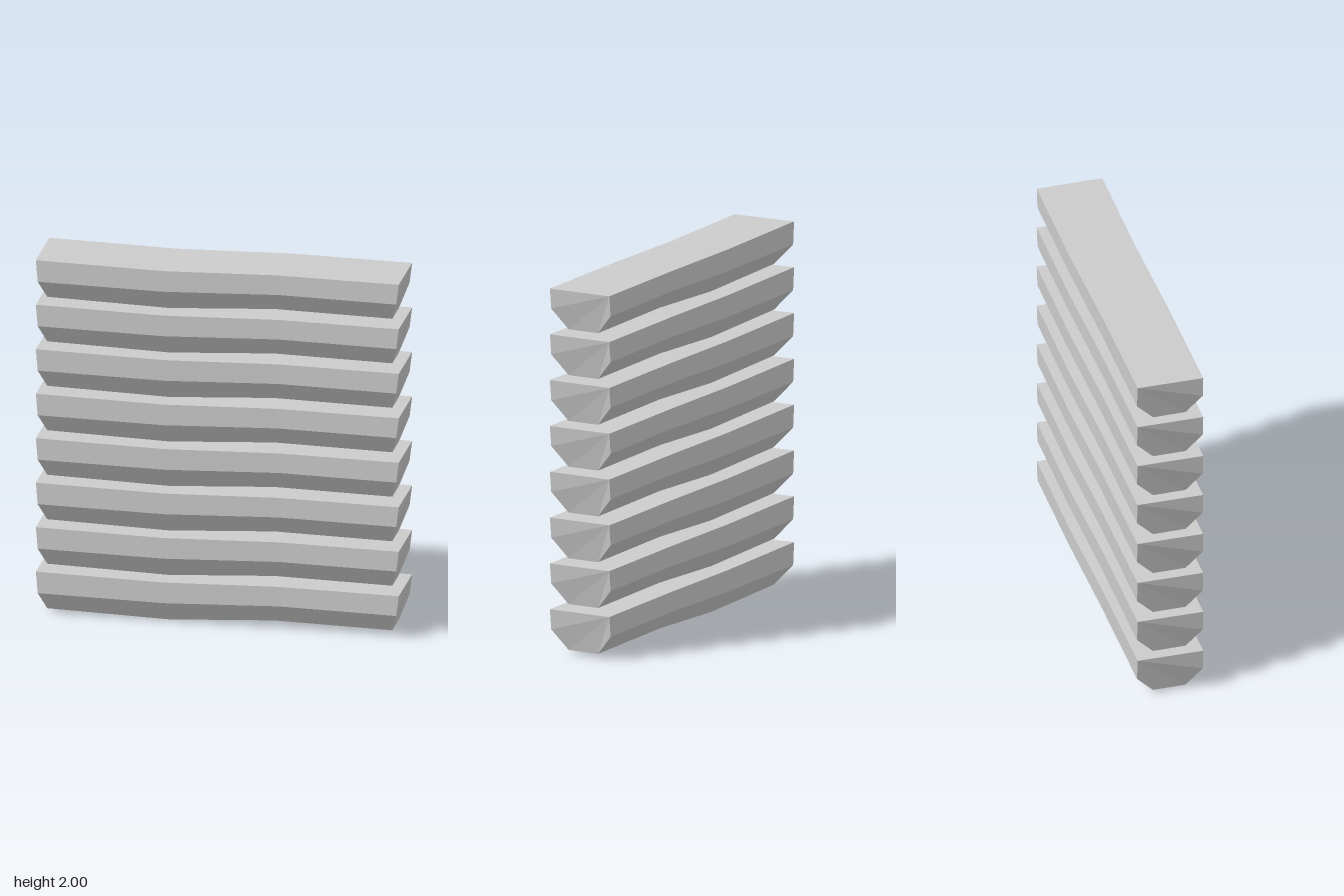
import * as THREE from 'three';

// Stations along a plank: x at top, middle, bottom; heights of the same; sideways sway
const STATIONS = [
  { x: [-0.985, -0.975, -0.94], y: [0.247, 0.127, 0.016], dz: -0.005 },
  { x: [-0.29, -0.29, -0.28], y: [0.236, 0.12, 0.001], dz: 0.004 },
  { x: [0.33, 0.33, 0.29], y: [0.25, 0.14, 0.03], dz: -0.007 },
  { x: [0.982, 0.968, 0.93], y: [0.245, 0.133, 0.022], dz: 0.004 },
];

// Six-sided section: [level, z], from top back round the front to middle back
const SECTION = [[0, -0.182], [0, 0.181], [1, 0.181], [2, 0.096], [2, -0.084], [1, -0.182]];

function plankGeometry() {
  const pos = [], index = [], n = SECTION.length, last = (STATIONS.length - 1) * n;
  for (const s of STATIONS) {
    SECTION.forEach(([level, z], j) => {
      // the top back edge lies slightly higher than the front one at the left end
      const lift = j === 0 && s.x[0] < 0 ? 0.003 : 0;
      pos.push(s.x[level], s.y[level] + lift, z + s.dz);
    });
  }
  // long faces
  for (let i = 0; i < last; i += n) {
    for (let j = 0; j < n; j++) {
      const a = i + j, b = i + (j + 1) % n;
      index.push(a, b, b + n, a, b + n, a + n);
    }
  }
  // end caps
  for (let j = 1; j < n - 1; j++) {
    index.push(0, j + 1, j);
    index.push(last, last + j, last + j + 1);
  }
  const geo = new THREE.BufferGeometry();
  geo.setAttribute('position', new THREE.Float32BufferAttribute(pos, 3));
  geo.setIndex(index);
  const flat = geo.toNonIndexed();
  flat.computeVertexNormals();
  return flat;
}

export function createModel() {
  const group = new THREE.Group();
  group.name = 'plankStack';
  const material = new THREE.MeshStandardMaterial({ color: 0xcccccc, flatShading: true });
  const geometry = plankGeometry();
  // eight equal planks, one above the other
  for (let i = 0; i < 8; i++) {
    const plank = new THREE.Mesh(geometry, material);
    plank.name = `plank${i + 1}`;
    plank.position.y = i * 0.25;
    group.add(plank);
  }
  return group;
}
